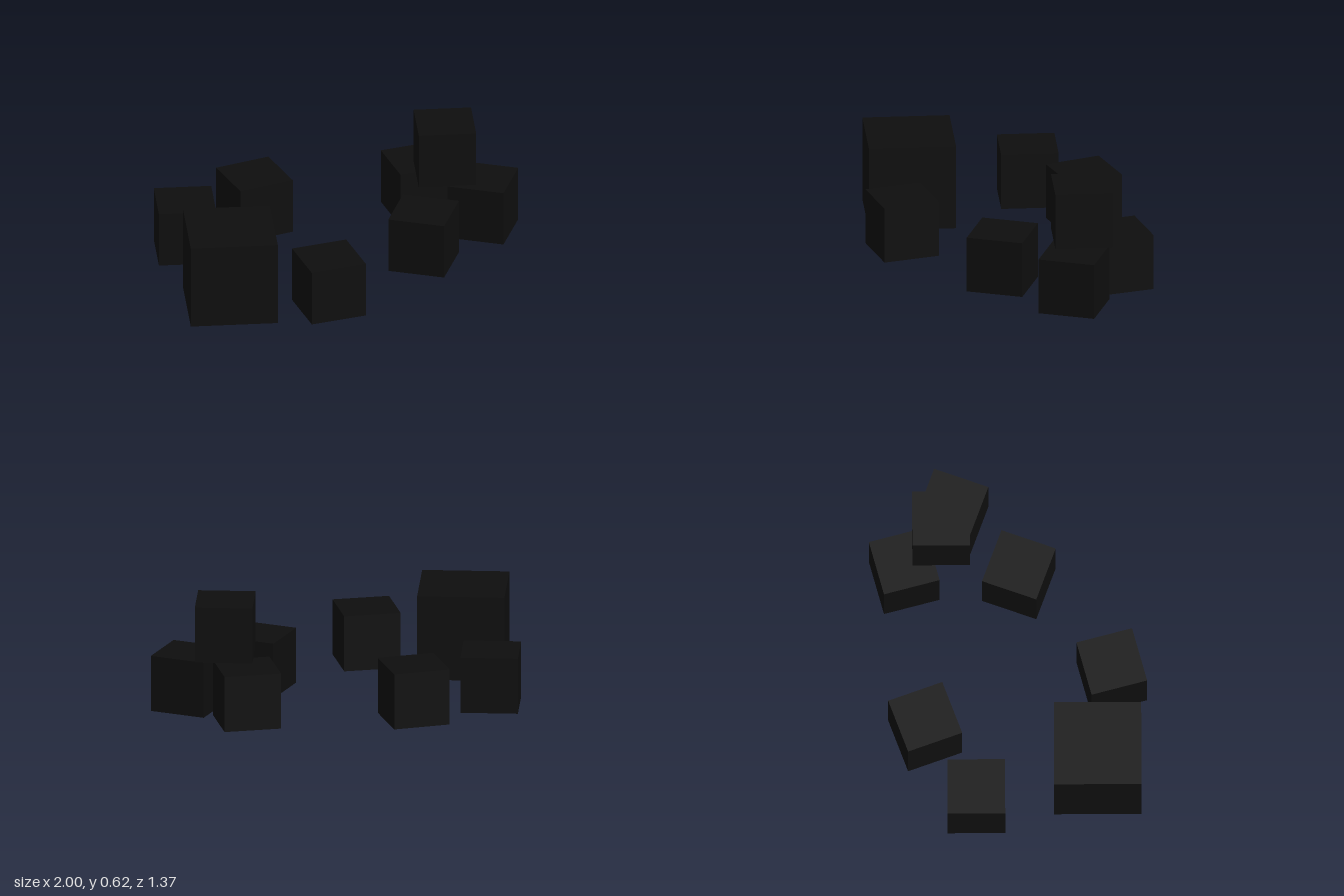
import * as THREE from 'three';

export function createModel() {
  const model = new THREE.Group();
  const black = new THREE.MeshStandardMaterial({ color: 0x0e0e0e });
  black.name = 'black';

  const SMALL = 0.306, LARGE = 0.464;

  // name, edge length, centre x, base y, centre z, turn in degrees
  const blocks = [
    ['largeBlock', LARGE, -0.734, 0, 0.352, -10],
    ['rightBackBlock', SMALL, -0.803, 0, -0.315, -10],
    ['backBlock', SMALL, -0.368, 0, -0.512, 10],
    ['frontBlock', SMALL, -0.237, 0, 0.518, 5],
    ['middleBlock', SMALL, 0.388, 0, 0.13, -30],
    // leaning stack: two supports with one block on top
    ['stackBackBlock', SMALL, 0.517, 0, -0.465, 5],
    ['stackFrontBlock', SMALL, 0.793, 0, -0.16, -30],
    ['stackTopBlock', SMALL, 0.608, 0.311, -0.25, -10],
  ];

  for (const [name, size, x, y, z, turn] of blocks) {
    const block = new THREE.Mesh(new THREE.BoxGeometry(size, size, size), black);
    block.name = name;
    block.position.set(x, y + size / 2, z);
    block.rotation.y = THREE.MathUtils.degToRad(turn);
    model.add(block);
  }
  return model;
}
